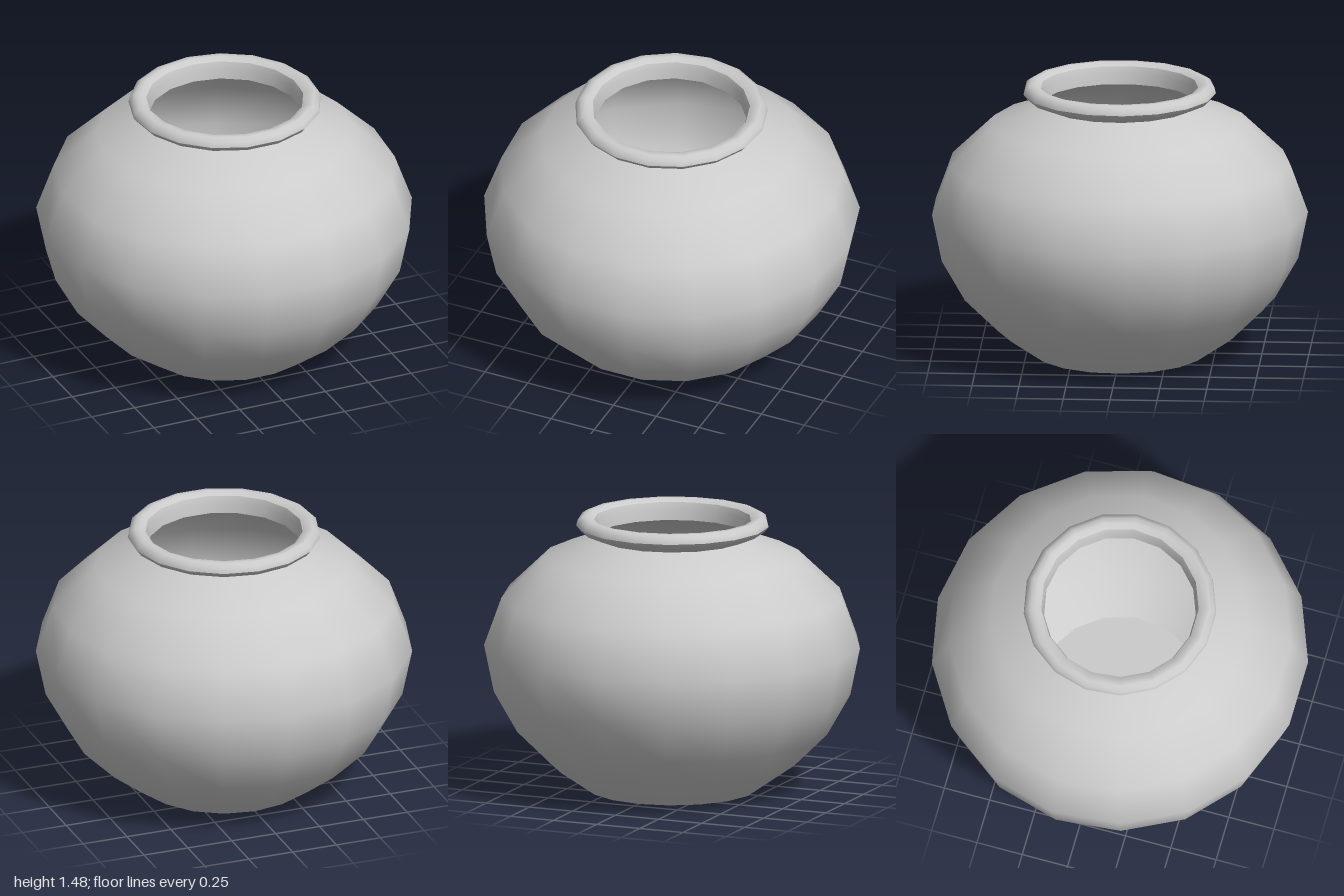
import * as THREE from 'three';

const SIDES = 17;

export function createModel() {
  const jar = new THREE.Group();
  jar.name = 'jar';
  const material = new THREE.MeshStandardMaterial({ color: 0xcccccc, side: THREE.DoubleSide });

  // Each part is turned separately so the joins between parts stay sharp.
  function turn(name, profile) {
    const points = profile.map(([r, y]) => new THREE.Vector2(r, y));
    const mesh = new THREE.Mesh(new THREE.LatheGeometry(points, SIDES, Math.PI), material);
    mesh.name = name;
    mesh.position.z = 0.0086; // centres the odd-sided outline
    jar.add(mesh);
  }

  // Flat foot
  turn('base', [[0, 0], [0.455, 0]]);

  // Round belly, widest just above the middle
  turn('body', [
    [0.455, 0], [0.65, 0.135], [0.828, 0.31], [0.952, 0.53],
    [1.0043, 0.785], [0.912, 1.04], [0.685, 1.258], [0.405, 1.365],
  ]);

  // Underside of the rim flaring out from the neck
  turn('rimFlare', [[0.405, 1.365], [0.492, 1.402], [0.514, 1.43]]);

  // Rounded lip
  turn('rimLip', [[0.514, 1.43], [0.507, 1.459], [0.48, 1.477], [0.45, 1.477], [0.42, 1.46]]);

  // Inside of the neck
  turn('neckLining', [[0.42, 1.46], [0.41, 1.425], [0.405, 1.365]]);

  return jar;
}
